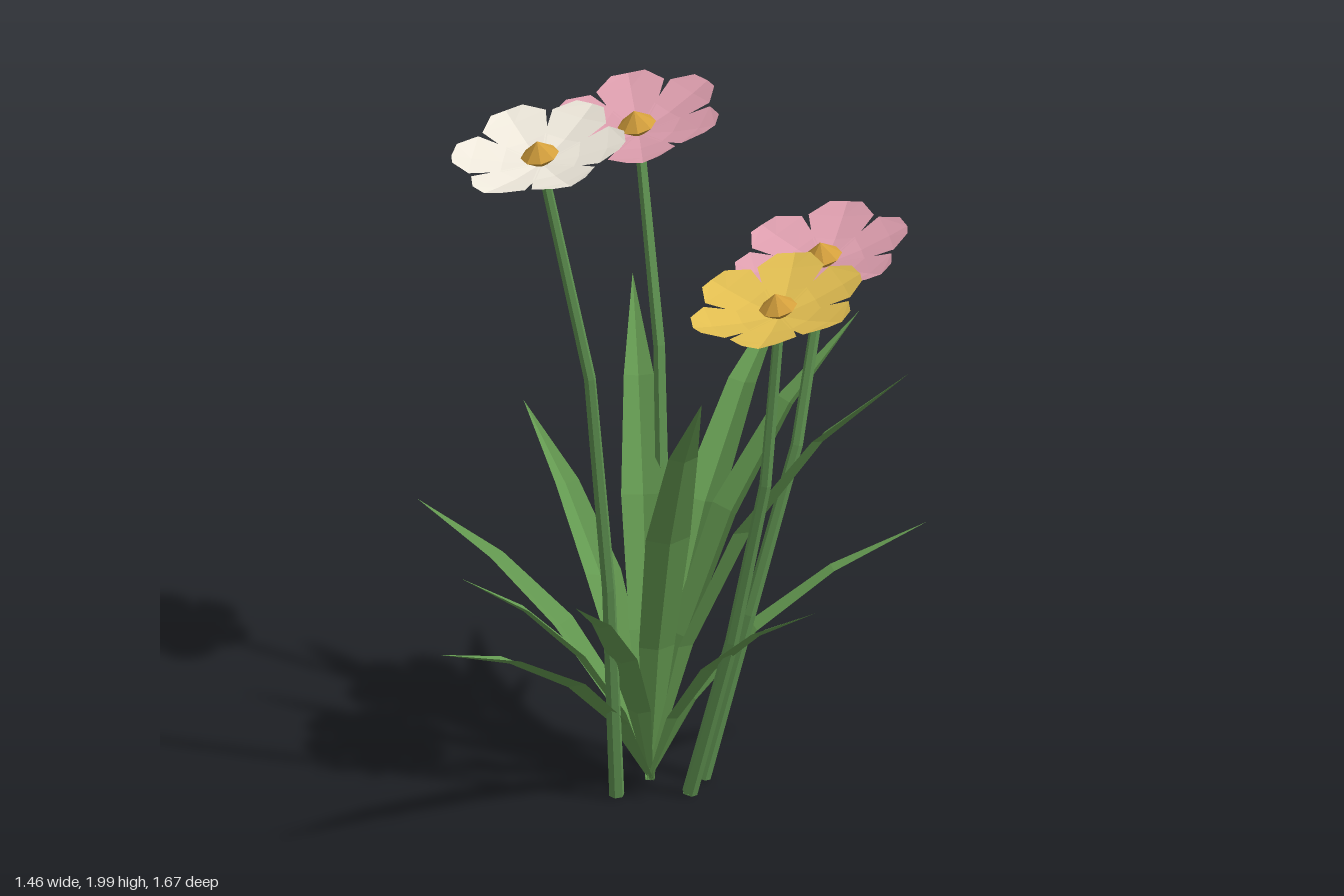
import * as THREE from 'three';

const mat = (color) => new THREE.MeshStandardMaterial({ color, flatShading: true, side: THREE.DoubleSide });
const GREEN = mat(0x639850), STEM = mat(0x5e9150), POLLEN = mat(0xd39f3c);
const PINK = mat(0xe0a0b0), YELLOW = mat(0xe4c052), WHITE = mat(0xf2ecdf);

// Strip of left / midrib / right points, one triple per row
function ribbon(rows) {
  const pos = [], idx = [];
  rows.forEach((row, i) => {
    row.forEach((p) => pos.push(p.x, p.y, p.z));
    if (i === 0) return;
    for (let k = 0; k < 2; k++) {
      const a = (i - 1) * 3 + k, b = a + 3;
      idx.push(a, a + 1, b, a + 1, b + 1, b);
    }
  });
  const g = new THREE.BufferGeometry();
  g.setAttribute('position', new THREE.Float32BufferAttribute(pos, 3));
  g.setIndex(idx);
  g.computeVertexNormals();
  return g;
}

function add(parent, name, geometry, material) {
  const m = new THREE.Mesh(geometry, material);
  m.name = name;
  parent.add(m);
  return m;
}

// Arching, pointed blade with a folded midrib, from the clump's base to a tip
const BASE = new THREE.Vector3(0.02, 0.01, -0.07);
const LEAF_WIDTH = [0.2, 0.8, 1, 0.66, 0];
function leafGeometry(tip) {
  const d = tip.clone().sub(BASE);
  const out = new THREE.Vector3(d.x, 0, d.z);
  const side = new THREE.Vector3(-d.z, 0, d.x).normalize();
  const half = d.length() * 0.045;
  const rows = LEAF_WIDTH.map((w, i) => {
    const t = i / 4;
    const mid = BASE.clone().addScaledVector(out, 0.55 * t + 0.45 * t * t);
    mid.y += d.y * (1.36 * t - 0.36 * t * t);
    const tangent = out.clone().multiplyScalar(0.55 + 0.9 * t);
    tangent.y = d.y * (1.36 - 0.72 * t);
    const normal = tangent.normalize().cross(side).normalize();
    if (normal.y < 0) normal.negate();
    const edge = (s) => mid.clone().addScaledVector(side, s * half * w).addScaledVector(normal, half * w * 0.4);
    return [edge(1), mid, edge(-1)];
  });
  return ribbon(rows);
}

// Three-segment, tapering six-sided stem
function stemGeometry(points) {
  const curve = new THREE.CatmullRomCurve3(points);
  const g = new THREE.TubeGeometry(curve, 3, 1, 6);
  const p = g.attributes.position, v = new THREE.Vector3();
  for (let i = 0; i < p.count; i++) {
    const t = Math.floor(i / 7) / 3, c = curve.getPointAt(t);
    v.fromBufferAttribute(p, i).sub(c).multiplyScalar(0.021 - 0.007 * t).add(c);
    p.setXYZ(i, v.x, v.y, v.z);
  }
  return g;
}

// Petal along +x: radius, half width, midrib height
const PETAL = [[0.012, 0.012, 0.004], [0.1, 0.062, 0.016], [0.178, 0.092, 0.035], [0.228, 0.046, 0.05]];
const petalGeometry = ribbon(PETAL.map(([r, w, y]) => [
  new THREE.Vector3(r, y + w * 0.12, w),
  new THREE.Vector3(r + 0.04 * r, y, 0),
  new THREE.Vector3(r, y + w * 0.12, -w),
]));

// Faceted pollen cone
const coneProfile = [[0.014, 0], [0.052, 0.03], [0, 0.072]].map(([r, y]) => new THREE.Vector2(r, y));
const coneGeometry = new THREE.LatheGeometry(coneProfile, 8);

function flower(material, yaw) {
  const g = new THREE.Group();
  g.name = 'flowerHead';
  for (let k = 0; k < 6; k++) {
    add(g, 'petal', petalGeometry, material).rotation.y = -THREE.MathUtils.degToRad(yaw + k * 60);
  }
  add(g, 'flowerCentre', coneGeometry, POLLEN);
  g.rotation.x = THREE.MathUtils.degToRad(15);
  return g;
}

const LEAF_TIPS = [
  [-0.18, 1.175, -0.835], [0.21, 1.22, -0.68], [0.475, 0.695, -0.66], [0.72, 1.265, -0.33],
  [0.475, 1.26, 0.215], [0.27, 0.705, 0.485], [0.1, 0.625, 0.835], [-0.225, 0.645, 0.405],
  [-0.71, 0.655, 0.055], [-0.735, 0.81, -0.385], [-0.385, 1.245, -0.435], [0.62, 0.63, -0.07],
];

const FLOWERS = [
  { petals: WHITE, yaw: 86, path: [[0.035, 0.01, 0.075], [0.1, 0.63, 0.175], [0.125, 1.26, 0.275], [0.062, 1.885, 0.395]] },
  { petals: PINK, yaw: 103, path: [[-0.08, 0.01, -0.18], [-0.09, 0.55, -0.24], [-0.17, 1.11, -0.31], [-0.32, 1.665, -0.39]] },
  { petals: PINK, yaw: 5, path: [[0.11, 0.01, -0.18], [0.22, 0.48, -0.24], [0.3, 0.95, -0.34], [0.305, 1.435, -0.445]] },
  { petals: YELLOW, yaw: 0, path: [[0.165, 0.01, -0.07], [0.32, 0.48, -0.07], [0.44, 0.95, -0.07], [0.488, 1.435, -0.075]] },
];

export function createModel() {
  const model = new THREE.Group();
  model.name = 'floweringPlant';

  for (const tip of LEAF_TIPS) add(model, 'leaf', leafGeometry(new THREE.Vector3(...tip)), GREEN);

  for (const { petals, yaw, path } of FLOWERS) {
    const points = path.map((p) => new THREE.Vector3(...p));
    add(model, 'stem', stemGeometry(points), STEM);
    // Closing disc at the foot of the stem
    const foot = add(model, 'stemFoot', new THREE.CircleGeometry(0.02, 6), STEM);
    foot.rotation.x = Math.PI / 2;
    foot.position.copy(points[0]);
    const head = flower(petals, yaw);
    head.position.copy(points[3]);
    model.add(head);
  }
  return model;
}
